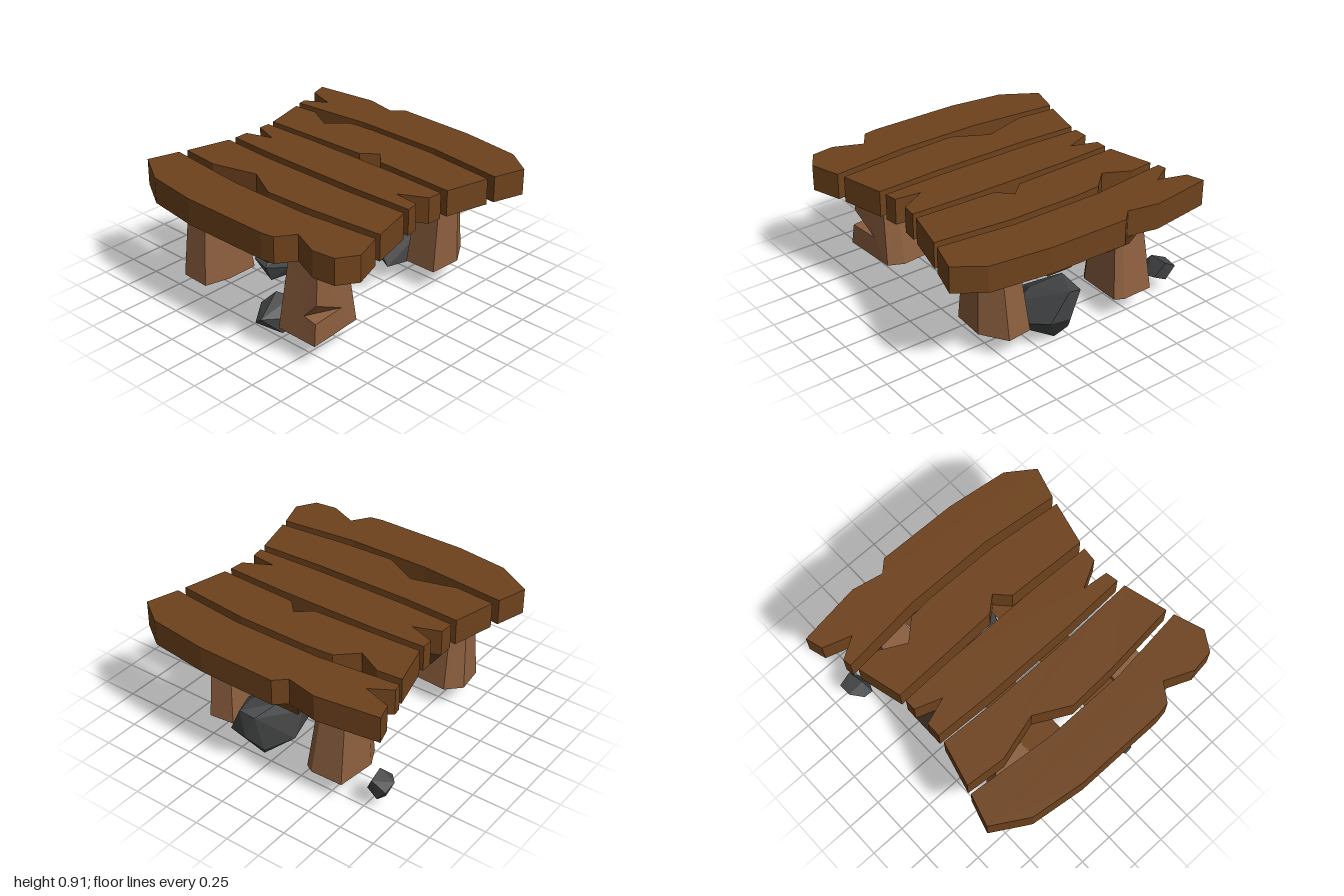
import * as THREE from 'three';
import { ConvexGeometry } from 'three/addons/geometries/ConvexGeometry.js';

const material = (color, side = THREE.FrontSide) =>
  new THREE.MeshStandardMaterial({ color, flatShading: true, side });
const plankWood = material(0x6e421c);
const plankInside = material(0x2e1d0e, THREE.DoubleSide);
const legWood = material(0x8b5e3e);
const stone = material(0x454647);

const PLANK_BOTTOM = 0.725, PLANK_TOP = 0.91, LEG_BOTTOM = 0.17;

// Outlines seen from above as [x, z], back to front
const plankOutlines = [
  [[-0.975, -0.91], [-0.53, -0.97], [-0.31, -0.925], [-0.23, -1], [0.345, -0.99], [0.78, -0.935], [0.97, -0.8],
    [0.9, -0.575], [0.345, -0.635], [-0.31, -0.635], [-0.88, -0.575], [-0.89, -0.635], [-0.74, -0.725], [-0.94, -0.79]],
  [[-0.86, -0.52], [-0.685, -0.535], [-0.505, -0.44], [-0.37, -0.565], [-0.18, -0.58], [0.345, -0.575],
    [0.885, -0.52], [0.805, -0.207], [0.215, -0.23], [0.125, -0.325], [0.02, -0.235], [-0.78, -0.207]],
  [[-0.775, -0.155], [-0.385, -0.17], [0.345, -0.17], [0.795, -0.155], [0.785, -0.05], [0.595, 0.05], [0.78, 0.07],
    [0.795, 0.16], [0.345, 0.175], [-0.385, 0.175], [-0.775, 0.16], [-0.775, 0.055], [-0.59, -0.01], [-0.775, -0.075]],
  [[-0.78, 0.215], [-0.385, 0.235], [0.345, 0.235], [0.805, 0.215], [0.885, 0.525], [0.345, 0.575], [-0.01, 0.59],
    [-0.255, 0.46], [-0.575, 0.55], [-0.86, 0.525]],
  [[-0.88, 0.58], [-0.26, 0.64], [0.345, 0.64], [0.9, 0.58], [0.97, 0.79], [0.885, 0.925], [0.725, 0.945],
    [0.525, 0.86], [0.44, 0.985], [0.345, 1], [-0.31, 1], [-0.695, 0.95], [-0.945, 0.8]],
];

// Foot corners as [x, z], clockwise from above, and the box the foot shrinks to at the top
const legs = {
  frontLeftLeg: {
    foot: [[0.66, 0.865], [0.63, 0.45], [0.52, 0.4], [0.32, 0.42], [0.295, 0.8], [0.34, 0.86]],
    top: { x: [0.345, 0.625], z: [0.495, 0.795] },
    notched: true,
  },
  frontRightLeg: {
    foot: [[-0.385, 0.83], [-0.34, 0.65], [-0.34, 0.42], [-0.6, 0.4], [-0.7, 0.5], [-0.675, 0.7], [-0.6, 0.82]],
    top: { x: [-0.655, -0.38], z: [0.49, 0.78] },
  },
  backLeftLeg: {
    foot: [[0.6, -0.35], [0.615, -0.59], [0.5, -0.77], [0.32, -0.75], [0.3, -0.45], [0.36, -0.35]],
    top: { x: [0.36, 0.6], z: [-0.7, -0.405] },
  },
  backRightLeg: {
    foot: [[-0.35, -0.48], [-0.34, -0.8], [-0.4, -0.835], [-0.63, -0.83], [-0.665, -0.55], [-0.6, -0.42], [-0.4, -0.42]],
    top: { x: [-0.625, -0.39], z: [-0.745, -0.46] },
  },
};

// Corner points of the loose rocks
const rocks = {
  largeRock: [[-0.005, 0.435, -0.66], [0.125, 0.46, -0.9], [0.02, 0.43, -0.88], [0.22, 0.38, -0.6], [0.305, 0.31, -0.6],
    [0.32, 0.2, -0.72], [0.31, 0.09, -0.55], [0.24, 0.24, -0.86], [0.09, 0.005, -0.71], [0.08, 0.015, -0.45],
    [0.2, 0.06, -0.34], [0.1, 0.21, -0.34], [-0.04, 0.18, -0.38], [-0.085, 0.14, -0.6], [-0.09, 0.32, -0.52],
    [0.03, 0.1, -0.78], [0.1, 0.24, -0.885], [0.025, 0.02, -0.5]],
  middleRock: [[-0.24, 0.36, 0.33], [-0.16, 0.36, 0.25], [-0.16, 0.35, 0.1], [-0.22, 0.34, 0.1], [-0.13, 0.26, 0.14],
    [-0.135, 0.19, 0.3], [-0.34, 0.28, 0.26], [-0.36, 0.16, 0.33], [-0.33, 0.24, 0.43], [-0.2, 0.22, 0.45],
    [-0.27, 0.06, 0.23], [-0.22, 0.09, 0.38], [-0.16, 0.11, 0.2], [-0.33, 0.13, 0.17]],
  frontRock: [[0.12, 0.24, 0.8], [0.2, 0.33, 0.74], [0.3, 0.31, 0.7], [0.35, 0.2, 0.76], [0.34, 0.13, 0.7],
    [0.25, 0.22, 0.93], [0.2, 0.18, 0.93], [0.31, 0.09, 0.8], [0.2, 0.1, 0.82], [0.3, 0.08, 0.66],
    [0.14, 0.16, 0.7], [0.24, 0.27, 0.65]],
  smallRock: [[-0.92, 0.22, -0.66], [-0.92, 0.2, -0.76], [-0.8, 0.275, -0.65], [-0.82, 0.26, -0.77], [-0.745, 0.14, -0.66],
    [-0.76, 0.15, -0.73], [-0.87, 0.1, -0.68], [-0.85, 0.11, -0.75], [-0.85, 0.2, -0.58], [-0.78, 0.19, -0.58]],
};

function outlineShape(points) {
  return new THREE.Shape(points.map(([x, z]) => new THREE.Vector2(x, -z)));
}

function addMesh(parent, name, geometry, mat) {
  const mesh = new THREE.Mesh(geometry, mat);
  mesh.name = name;
  parent.add(mesh);
  return mesh;
}

// Triangulates a list of polygons, each as a fan from its first corner
function polygonGeometry(polygons) {
  const positions = [];
  for (const p of polygons)
    for (let i = 1; i < p.length - 1; i++) positions.push(...p[0], ...p[i], ...p[i + 1]);
  const g = new THREE.BufferGeometry();
  g.setAttribute('position', new THREE.Float32BufferAttribute(positions, 3));
  g.computeVertexNormals();
  return g;
}

// Tapered, roughly hewn leg
function legGeometry({ foot, top, notched }) {
  const fit = (k, [min, max]) => {
    const values = foot.map((p) => p[k]);
    const lo = Math.min(...values), hi = Math.max(...values);
    return values.map((v) => THREE.MathUtils.mapLinear(v, lo, hi, min, max));
  };
  const topX = fit(0, top.x), topZ = fit(1, top.z);
  const lo = foot.map(([x, z]) => [x, LEG_BOTTOM, z]);
  const hi = foot.map((_, i) => [topX[i], PLANK_BOTTOM, topZ[i]]);
  const last = foot.length - 1;
  const polygons = [hi, [...lo].reverse()];
  for (let i = 0; i <= last; i++) {
    const j = (i + 1) % foot.length;
    if (notched && (i === 0 || i === last)) continue;
    polygons.push([lo[i], lo[j], hi[j], hi[i]]);
  }
  if (notched) {
    // Wedge chopped out of the outer front corner
    const along = (t) => lo[0].map((c, k) => c + (hi[0][k] - c) * t);
    const upper = along(0.49), lower = along(0.27);
    const front = [0.545, 0.335, 0.84], outer = [0.635, 0.325, 0.595];
    polygons.push(
      [front, upper, hi[0], hi[last], lo[last], lo[0], lower],
      [outer, lower, lo[0], lo[1], hi[1], hi[0], upper],
      [upper, front, outer],
      [lower, outer, front],
    );
  }
  return polygonGeometry(polygons);
}

export function createModel() {
  const model = new THREE.Group();
  model.name = 'plankTable';

  // Table top
  const top = new THREE.Group();
  top.name = 'tableTop';
  model.add(top);
  plankOutlines.forEach((outline, i) => {
    const g = new THREE.ExtrudeGeometry(outlineShape(outline), { depth: PLANK_TOP - PLANK_BOTTOM, bevelEnabled: false });
    g.rotateX(-Math.PI / 2);
    addMesh(top, `plank${i + 1}`, g, plankWood).position.y = PLANK_BOTTOM;
  });

  // Floor of the split in the middle plank's end
  const splitFloor = new THREE.ShapeGeometry(outlineShape([[-0.775, -0.075], [-0.775, 0.055], [-0.59, -0.01]]));
  splitFloor.rotateX(-Math.PI / 2);
  addMesh(top, 'splitFloor', splitFloor, plankInside).position.y = PLANK_BOTTOM;

  // Two beams under the planks, narrowing downward
  for (const [name, x] of [['rightBeam', -0.26], ['leftBeam', 0.215]]) {
    const g = new THREE.BoxGeometry(0.26, 0.08, 1.87);
    const p = g.attributes.position;
    for (let i = 0; i < p.count; i++)
      if (p.getY(i) < 0) p.setXYZ(i, p.getX(i) * 0.72, p.getY(i), p.getZ(i) * 0.965);
    g.computeVertexNormals();
    addMesh(model, name, g, plankWood).position.set(x, 0.685, 0);
  }

  // Four legs
  for (const [name, leg] of Object.entries(legs)) addMesh(model, name, legGeometry(leg), legWood);

  // Rocks lying around the legs
  for (const [name, points] of Object.entries(rocks))
    addMesh(model, name, new ConvexGeometry(points.map((p) => new THREE.Vector3(...p))), stone);

  return model;
}
